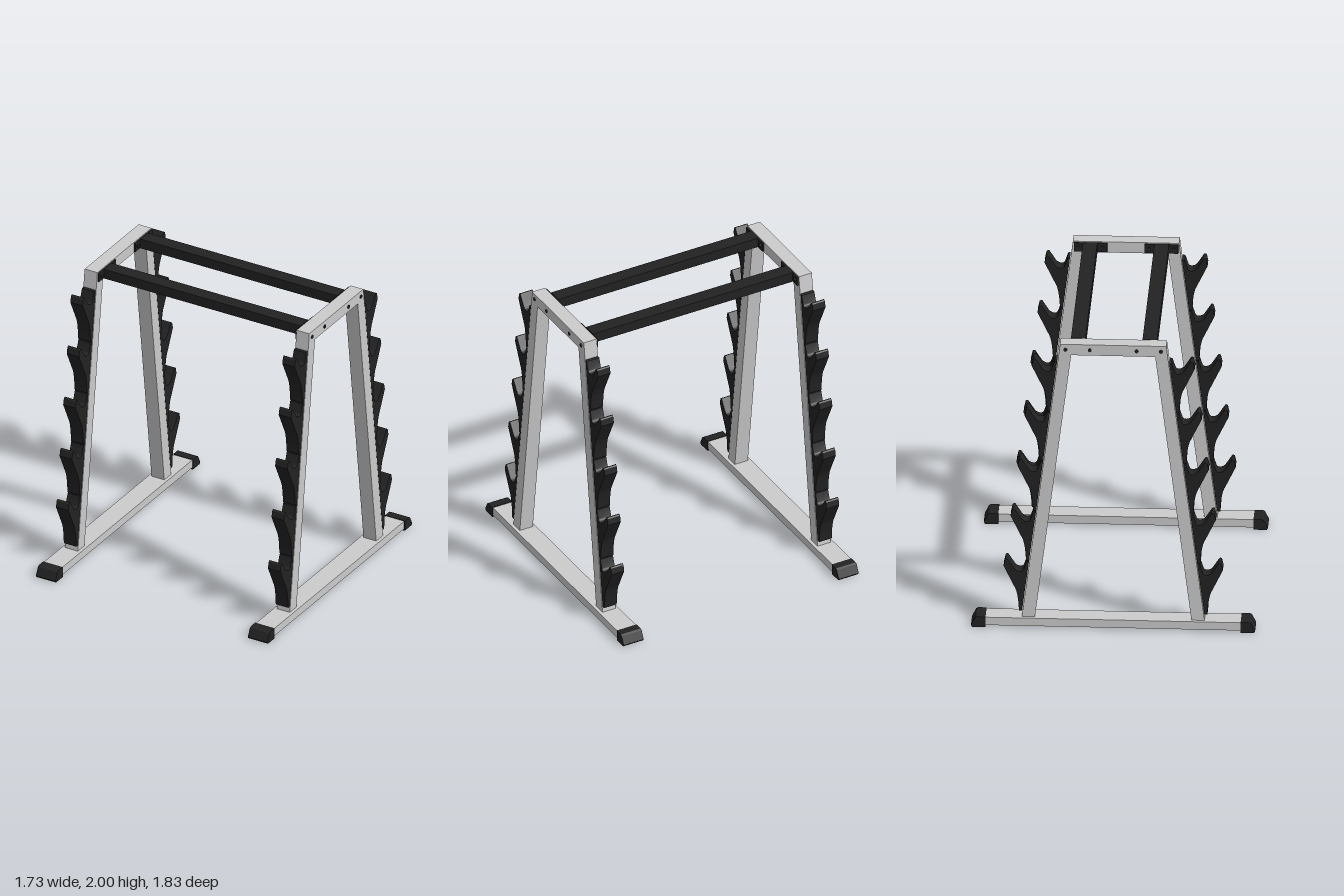
import * as THREE from 'three';
import { toCreasedNormals } from 'three/addons/utils/BufferGeometryUtils.js';

const grey = new THREE.MeshStandardMaterial({ color: 0xcccccc });
const black = new THREE.MeshStandardMaterial({ color: 0x222222 });

const SIDE_X = 0.79;
const HOOKS = 5;
const HOOK_STEP = 0.3545;

// outer face of the leaning upright: z at a given height
const legZ = (y) => 0.587 - (y - 0.07) * 0.1275;

function add(parent, name, geometry, material, x = 0, y = 0, z = 0) {
  const mesh = new THREE.Mesh(geometry, material);
  mesh.name = name;
  mesh.position.set(x, y, z);
  parent.add(mesh);
  return mesh;
}

// extrude a (z, y) outline across x, centred on x = 0
function sideExtrude(shape, width) {
  const g = new THREE.ExtrudeGeometry(shape, { depth: width, bevelEnabled: false, curveSegments: 6 });
  g.translate(0, 0, -width / 2);
  g.rotateY(-Math.PI / 2);
  return toCreasedNormals(g, 0.5);
}

const polygon = (pts) => new THREE.Shape(pts.map(([z, y]) => new THREE.Vector2(z, y)));

// two-pronged cradle; w is the distance out from the upright
function hookGeometry() {
  const p = (w, y) => [legZ(y) + w, y];
  const s = new THREE.Shape();
  s.moveTo(...p(0.004, 0.112));
  s.lineTo(...p(0.024, 0.112));
  s.quadraticCurveTo(...p(0.046, 0.245), ...p(0.078, 0.285));
  s.lineTo(...p(0.163, 0.425));
  s.lineTo(...p(0.159, 0.466));
  s.quadraticCurveTo(...p(0.15, 0.48), ...p(0.14, 0.468));
  s.lineTo(...p(0.089, 0.402));
  s.quadraticCurveTo(...p(0.07, 0.386), ...p(0.052, 0.386));
  s.quadraticCurveTo(...p(0.036, 0.386), ...p(0.032, 0.4));
  s.lineTo(...p(0.02, 0.458));
  s.lineTo(...p(0.004, 0.462));
  s.closePath();
  return sideExtrude(s, 0.092);
}

// one end frame, centred on x = 0 with its inner face toward -x
function createSide() {
  const side = new THREE.Group();

  // uprights and top beam
  const frame = polygon([
    [0.587, 0.07], [0.341, 2], [-0.341, 2], [-0.587, 0.07],
    [-0.503, 0.07], [-0.27, 1.925], [0.27, 1.925], [0.503, 0.07],
  ]);
  add(side, 'uprightFrame', sideExtrude(frame, 0.095), grey);

  // floor rail
  add(side, 'baseRail', new THREE.BoxGeometry(0.138, 0.055, 1.7), grey, 0, 0.0415, 0);

  const hook = hookGeometry();
  const cap = sideExtrude(polygon([
    [0.82, 0], [0.905, 0], [0.913, 0.012], [0.886, 0.066], [0.874, 0.073], [0.82, 0.073],
  ]), 0.146);

  // front and back halves
  for (const turn of [0, Math.PI]) {
    const half = new THREE.Group();
    half.name = turn ? 'backHalf' : 'frontHalf';
    half.rotation.y = turn;
    add(half, 'footCap', cap, black);
    for (let i = 0; i < HOOKS; i++) {
      add(half, 'hook', hook, black, 0, i * HOOK_STEP, -i * HOOK_STEP * 0.1275);
    }
    side.add(half);
  }

  // mounting plates for the crossbars, with bolts through the beam
  const bolt = new THREE.CylinderGeometry(0.012, 0.012, 0.118, 12);
  bolt.rotateZ(Math.PI / 2);
  for (const s of [1, -1]) {
    add(side, 'mountingPlate', new THREE.BoxGeometry(0.01, 0.062, 0.215), black, -0.0525, 1.962, s * 0.228);
    for (const z of [0.15, 0.307]) add(side, 'bolt', bolt, black, -0.006, 1.962, s * z);
  }
  return side;
}

export function createModel() {
  const model = new THREE.Group();
  model.name = 'storageRack';

  // left and right end frames
  const left = createSide();
  left.name = 'leftSide';
  left.position.x = SIDE_X;
  const right = createSide();
  right.name = 'rightSide';
  right.position.x = -SIDE_X;
  right.rotation.y = Math.PI;
  model.add(left, right);

  // crossbars
  for (const z of [0.23, -0.23]) {
    add(model, 'crossbar', new THREE.BoxGeometry(1.468, 0.068, 0.094), black, 0, 1.964, z);
  }
  return model;
}
